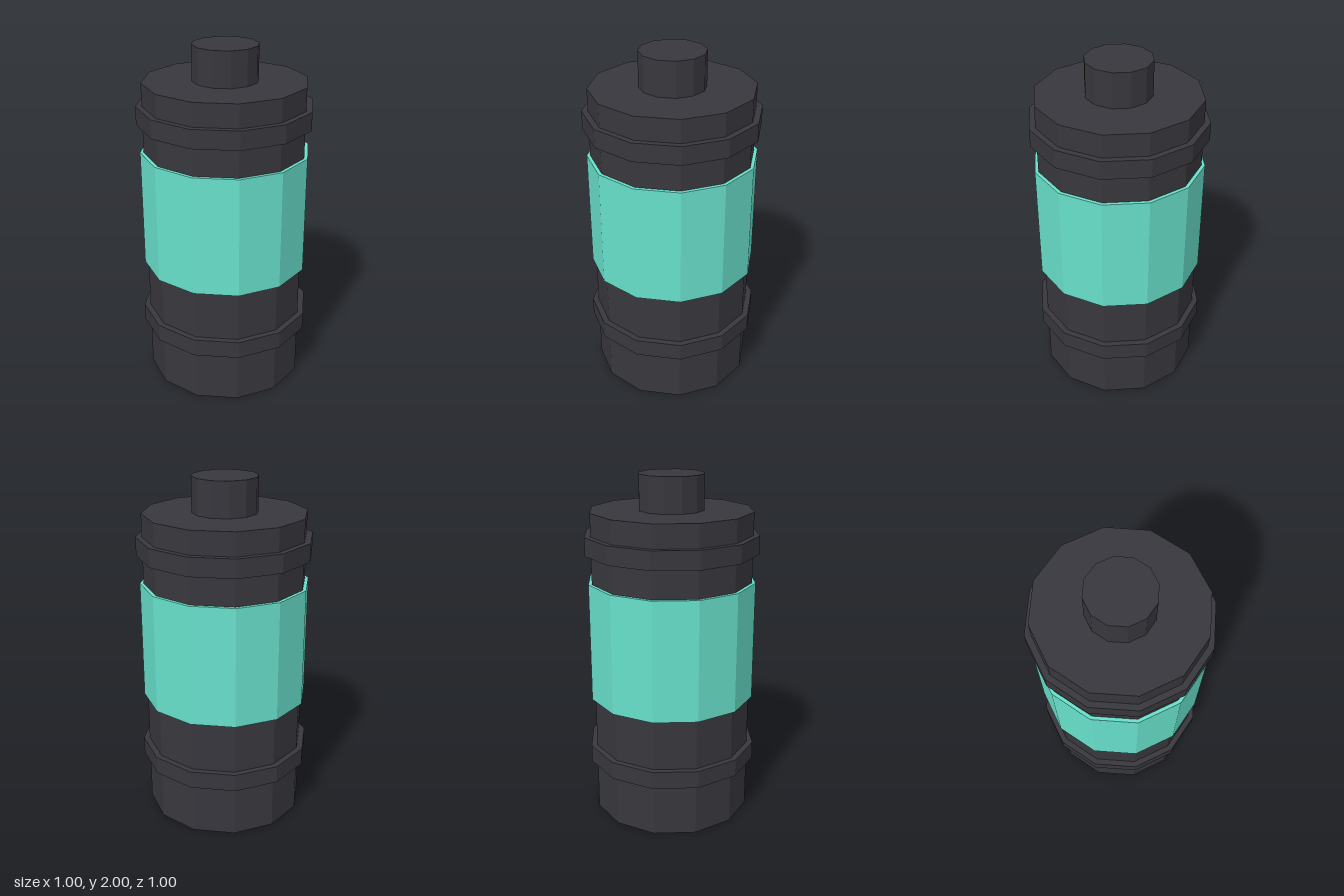
import * as THREE from 'three';

export function createModel() {
  const model = new THREE.Group();
  model.name = 'canister';

  const flat = (name, color) => {
    const m = new THREE.MeshStandardMaterial({ color, flatShading: true });
    m.name = name;
    return m;
  };
  const casing = flat('dark casing', 0x38373d);
  const teal = flat('teal band', 0x68e0cb);

  // Twelve-sided drum between two heights
  const drum = (name, radius, y0, y1, material) => {
    const mesh = new THREE.Mesh(new THREE.CylinderGeometry(radius, radius, y1 - y0, 12), material);
    mesh.name = name;
    mesh.position.y = (y0 + y1) / 2;
    model.add(mesh);
  };

  drum('body', 0.465, 0, 1.8, casing);
  drum('lowerRing', 0.5, 0.31, 0.413, casing);
  drum('upperRing', 0.5, 1.565, 1.67, casing);
  drum('colourBand', 0.485, 0.71, 1.402, teal);
  drum('topCap', 0.187, 1.8, 2, casing);

  return model;
}
